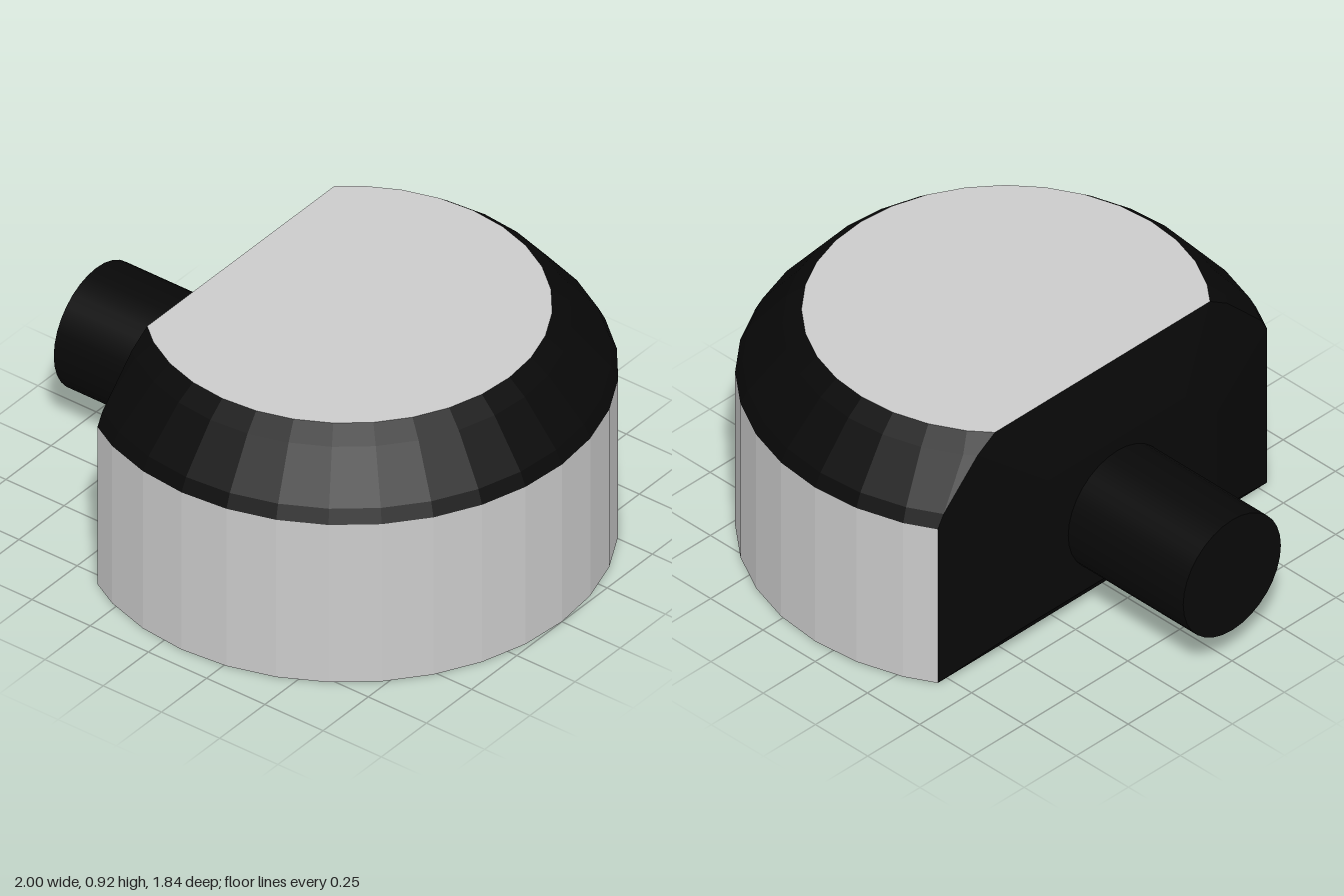
import * as THREE from 'three';

const CENTER_X = 0.08, CUT_X = -0.38, FACE_X = -0.45;
const grey = new THREE.MeshStandardMaterial({ color: 0xcccccc, flatShading: true });
const black = new THREE.MeshStandardMaterial({ color: 0x080808, flatShading: true });

// Open 32-step circle around the y axis, trimmed straight at x = CUT_X
function ring(r, y) {
  const at = (i) => {
    const t = (i * Math.PI) / 16;
    return new THREE.Vector3(CENTER_X + r * Math.cos(t), y, r * Math.sin(t));
  };
  const points = [];
  let edge = null;
  for (let i = 0; i <= 12; i++) {
    const p = at(i);
    if (p.x < CUT_X && !edge) {
      const q = at(i - 1);
      edge = q.clone().lerp(p, (q.x - CUT_X) / (q.x - p.x));
    }
    points.push(edge ? edge.clone() : p);
  }
  const mirrored = points.slice(1).reverse().map((p) => new THREE.Vector3(p.x, p.y, -p.z));
  return [...mirrored, ...points];
}

// Skin between consecutive cross-sections
function loft(sections, closed = false) {
  const tris = [];
  for (let s = 0; s < sections.length - 1; s++) {
    const a = sections[s], b = sections[s + 1], n = a.length;
    for (let i = 0; i < (closed ? n : n - 1); i++) {
      const j = (i + 1) % n;
      tris.push(a[i], b[i], a[j], a[j], b[i], b[j]);
    }
  }
  return tris;
}

// Fan over a convex outline
function cap(points, flip = false) {
  const tris = [];
  for (let i = 1; i < points.length - 1; i++) {
    tris.push(points[0], points[flip ? i + 1 : i], points[flip ? i : i + 1]);
  }
  return tris;
}

function addMesh(group, name, tris, material) {
  // Drop collapsed triangles left by the trimming
  const kept = [];
  for (let i = 0; i < tris.length; i += 3) {
    const t = new THREE.Triangle(tris[i], tris[i + 1], tris[i + 2]);
    if (t.getArea() > 1e-7) kept.push(t.a, t.b, t.c);
  }
  const geometry = new THREE.BufferGeometry().setFromPoints(kept);
  geometry.computeVertexNormals();
  const mesh = new THREE.Mesh(geometry, material);
  mesh.name = name;
  group.add(mesh);
}

export function createModel() {
  const group = new THREE.Group();
  group.name = 'roundHeadWithStem';

  // Head: straight wall, bevelled shoulder, flat top and bottom
  const base = ring(0.92, 0);
  const shoulder = [[0.92, 0.655], [0.895, 0.705], [0.76, 0.867], [0.695, 0.92]].map(([r, y]) => ring(r, y));
  addMesh(group, 'sideWall', loft([base, shoulder[0]]), grey);
  addMesh(group, 'shoulder', loft(shoulder), black);
  addMesh(group, 'topPlate', cap(shoulder[3], true), grey);
  addMesh(group, 'bottomPlate', cap(base), grey);

  // Collar: tapers from the trimmed side of the head to a smaller flat face
  const half = [base, ...shoulder].map((r) => r[r.length - 1]);
  const inner = [[0.09, 0.48], [0.5, 0.48], [0.5, 0.48], [0.65, 0.33], [0.65, 0.33]]
    .map(([y, z]) => new THREE.Vector3(FACE_X, y, z));
  const mirror = (pts) => [...pts, ...pts.map((p) => new THREE.Vector3(p.x, p.y, -p.z)).reverse()];
  const face = mirror(inner);
  addMesh(group, 'collar', [...loft([face, mirror(half)], true), ...cap(face)], black);

  // Stem
  const stem = new THREE.Mesh(
    new THREE.CylinderGeometry(0.235, 0.235, 0.57, 32),
    new THREE.MeshStandardMaterial({ color: 0x080808 })
  );
  stem.name = 'stem';
  stem.rotation.z = Math.PI / 2;
  stem.position.set(-0.715, 0.365, 0);
  group.add(stem);

  return group;
}
